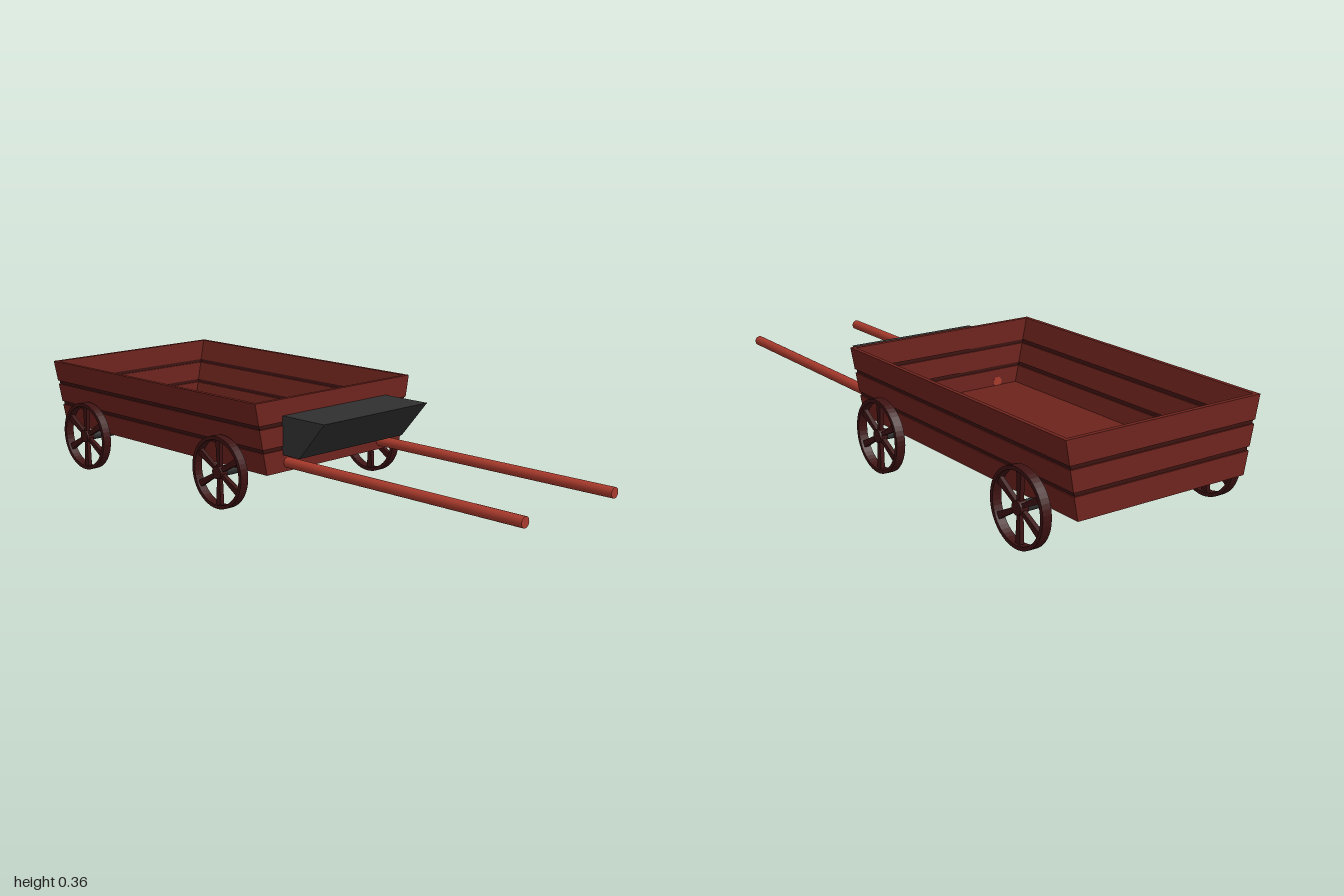
import * as THREE from 'three';

const mat = (color) => new THREE.MeshStandardMaterial({ color });
const X0 = -1, X1 = 0.075, T = 0.014;

export function createModel() {
  const cart = new THREE.Group();
  cart.name = 'cart';
  const plankMat = mat(0x6e231d), grooveMat = mat(0x3a1210), wheelMat = mat(0x3d1212);
  const ironMat = mat(0x303030), poleMat = mat(0xa83a2c);

  const add = (parent, name, geometry, material, x = 0, y = 0, z = 0) => {
    const mesh = new THREE.Mesh(geometry, material);
    mesh.name = name;
    mesh.position.set(x, y, z);
    parent.add(mesh);
    return mesh;
  };

  // Cross-section in (z, y), swept along x from xa to xb
  const sweep = (points, xa, xb) => {
    const shape = new THREE.Shape(points.map(([z, y]) => new THREE.Vector2(-z, y)));
    return new THREE.ExtrudeGeometry(shape, { depth: xb - xa, bevelEnabled: false })
      .rotateY(Math.PI / 2).translate(xa, 0, 0);
  };

  // The walls lean outwards with height
  const halfWidth = (y) => 0.303 + (y - 0.13) * 0.2;

  // One course of boards around the box: two long sides and two ends
  const course = (name, y0, y1, inset, thick, material) => {
    const g = new THREE.Group();
    g.name = name;
    const a = halfWidth(y0) - inset, b = halfWidth(y1) - inset;
    const xa = X0 + inset, xb = X1 - inset;
    for (const s of [1, -1])
      add(g, 'sideBoard', sweep([[s * a, y0], [s * b, y1], [s * (b - thick), y1], [s * (a - thick), y0]],
        xa + thick, xb - thick), material);
    const end = [[-a, y0], [a, y0], [b, y1], [-b, y1]];
    add(g, 'endBoard', sweep(end, xa, xa + thick), material);
    add(g, 'endBoard', sweep(end, xb - thick, xb), material);
    cart.add(g);
  };
  course('lowerPlanks', 0.13, 0.201, 0, T, plankMat);
  course('lowerGroove', 0.201, 0.213, 0.004, T - 0.008, grooveMat);
  course('middlePlanks', 0.213, 0.278, 0, T, plankMat);
  course('upperGroove', 0.278, 0.29, 0.004, T - 0.008, grooveMat);
  course('upperPlanks', 0.29, 0.363, 0, T, plankMat);

  // Floor
  add(cart, 'floor', new THREE.BoxGeometry(X1 - X0 - 0.02, 0.014, 0.59), plankMat, (X0 + X1) / 2, 0.138, 0);

  // Spoked wheel, centred on its own hub
  const makeWheel = () => {
    const wheel = new THREE.Group();
    wheel.name = 'wheel';
    const R = 0.118, r = 0.106, w = 0.03;
    const rim = new THREE.Shape().absarc(0, 0, R, 0, Math.PI * 2);
    rim.holes.push(new THREE.Path().absarc(0, 0, r, 0, Math.PI * 2, true));
    add(wheel, 'rim', new THREE.ExtrudeGeometry(rim, { depth: w, bevelEnabled: false, curveSegments: 24 })
      .translate(0, 0, -w / 2), wheelMat);
    add(wheel, 'hub', new THREE.CylinderGeometry(0.021, 0.021, 0.028, 20).rotateX(Math.PI / 2), wheelMat);
    const spoke = new THREE.Shape([[-0.006, 0.01], [0.006, 0.01], [0.011, 0.108], [-0.011, 0.108]]
      .map(([x, y]) => new THREE.Vector2(x, y)));
    const spokeGeo = new THREE.ExtrudeGeometry(spoke, { depth: 0.014, bevelEnabled: false }).translate(0, 0, -0.007);
    for (let i = 0; i < 6; i++)
      add(wheel, 'spoke', spokeGeo, wheelMat).rotation.z = i * Math.PI / 3;
    return wheel;
  };

  // Axles with a wheel at each end
  for (const x of [-0.812, -0.097]) {
    add(cart, 'axle', new THREE.CylinderGeometry(0.017, 0.017, 0.68, 20).rotateX(Math.PI / 2), ironMat, x, 0.12, 0);
    for (const s of [1, -1]) {
      const wheel = makeWheel();
      wheel.position.set(x, 0.119, s * 0.348);
      cart.add(wheel);
    }
  }

  // Driver's seat: wedge with a sloping front
  const seat = new THREE.Shape([[0.07, 0.185], [0.15, 0.185], [0.258, 0.31], [0.07, 0.31]]
    .map(([x, y]) => new THREE.Vector2(x, y)));
  add(cart, 'seat', new THREE.ExtrudeGeometry(seat, { depth: 0.47, bevelEnabled: false })
    .translate(0, 0, -0.235), ironMat);

  // Draught poles
  for (const z of [0.215, -0.208])
    add(cart, 'pole', new THREE.CylinderGeometry(0.017, 0.017, 0.94, 20).rotateZ(Math.PI / 2), poleMat, 0.53, 0.158, z);

  return cart;
}
